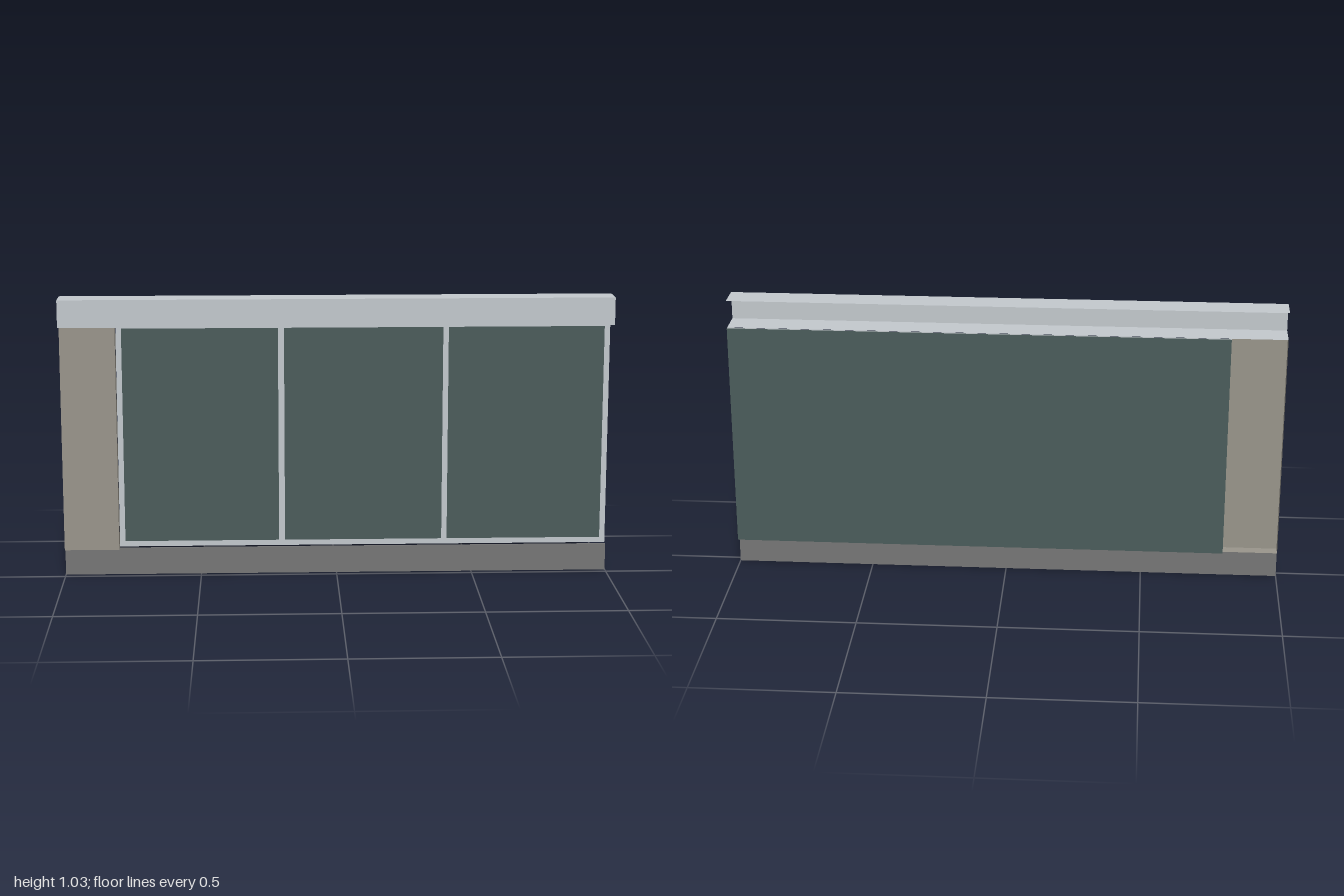
import * as THREE from 'three';

const mat = (name, color) => {
  const m = new THREE.MeshStandardMaterial({ color, side: THREE.DoubleSide });
  m.name = name;
  return m;
};

export function createModel() {
  const model = new THREE.Group();
  const metal = mat('light grey metal', 0xc3c9cd);
  const glass = mat('dark green glass', 0x4b5c5b);
  const stone = mat('warm grey panel', 0x99958b);
  const plinth = mat('dark grey base', 0x767676);

  const add = (name, geo, material, parent = model) => {
    const mesh = new THREE.Mesh(geo, material);
    mesh.name = name;
    parent.add(mesh);
    return mesh;
  };
  // Flat sheets: facing z, facing up, facing x
  const sheetZ = (x0, x1, y0, y1, z) =>
    new THREE.PlaneGeometry(x1 - x0, y1 - y0).translate((x0 + x1) / 2, (y0 + y1) / 2, z);
  const sheetY = (x0, x1, z0, z1, y) =>
    new THREE.PlaneGeometry(x1 - x0, z1 - z0).rotateX(-Math.PI / 2).translate((x0 + x1) / 2, y, (z0 + z1) / 2);
  const sheetX = (z0, z1, y0, y1, x) =>
    new THREE.PlaneGeometry(z1 - z0, y1 - y0).rotateY(Math.PI / 2).translate(x, (y0 + y1) / 2, (z0 + z1) / 2);
  const group = (name) => {
    const g = new THREE.Group();
    g.name = name;
    model.add(g);
    return g;
  };

  const bottom = 0.1, top = 0.935, height = 1.035;

  // Channel-shaped header, open at the back and ends
  const header = group('header');
  add('headerFront', sheetZ(-1, 1, top, height, 0.055), metal, header);
  add('headerTop', sheetY(-1, 1, -0.045, 0.055, height), metal, header);
  add('headerBottom', sheetY(-1, 1, -0.045, 0.055, top), metal, header);

  // Side panel: shallow tray open at the back
  const panel = group('sidePanel');
  add('panelFront', sheetZ(-1, -0.8, bottom, top, 0), stone, panel);
  for (const x of [-1, -0.8]) add('panelSide', sheetX(-0.04, 0, bottom, top, x), stone, panel);
  for (const y of [bottom, top - 0.001]) add('panelEnd', sheetY(-1, -0.8, -0.04, 0, y), stone, panel);

  // Base strip with a narrow lip behind its upper edge
  const base = group('base');
  add('baseFront', sheetZ(-1, 1, 0, bottom, -0.025), plinth, base);
  add('baseLip', sheetY(-1, 1, -0.035, -0.025, bottom - 0.001), plinth, base);

  // Window frame with three openings
  const rect = (P, x0, x1, y0, y1) =>
    new P([[x0, y0], [x1, y0], [x1, y1], [x0, y1]].map(([x, y]) => new THREE.Vector2(x, y)));
  const frame = rect(THREE.Shape, -0.8, 1, bottom, top);
  for (const [x0, x1] of [[-0.78, -0.212], [-0.19, 0.39], [0.41, 0.98]])
    frame.holes.push(rect(THREE.Path, x0, x1, bottom + 0.02, top - 0.02));
  add('windowFrame', new THREE.ShapeGeometry(frame).translate(0, 0, -0.047), metal);

  // Glass sheet behind the frame
  add('glass', sheetZ(-0.8, 1, bottom, top, -0.055), glass);

  return model;
}
